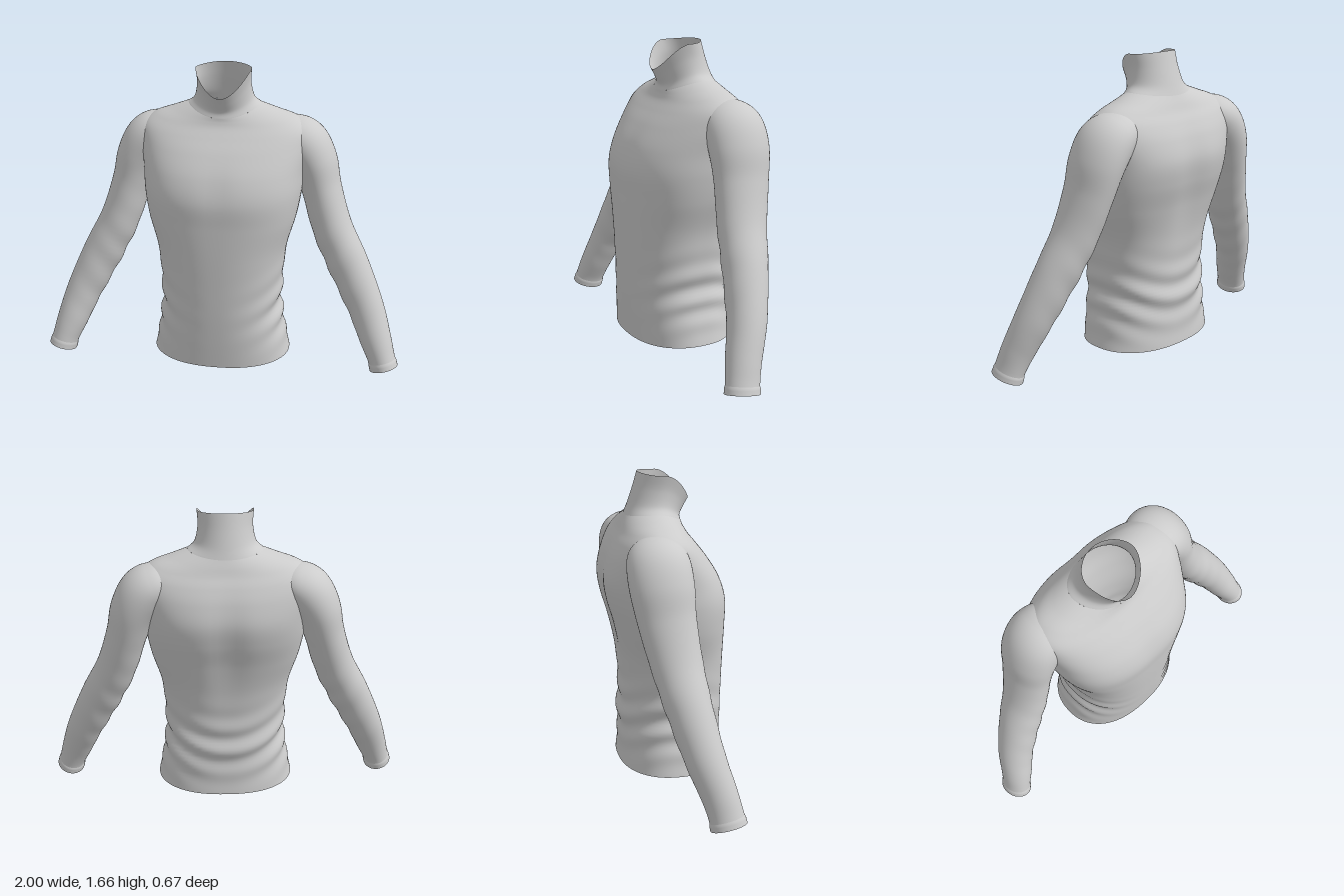
import * as THREE from 'three';

const material = new THREE.MeshStandardMaterial({ color: 0xcccccc, side: THREE.DoubleSide });

// Smooth interpolation through rows of numbers, t in 0..1
function sample(rows, t) {
  const f = t * (rows.length - 1);
  const i = Math.min(Math.floor(f), rows.length - 2);
  const u = f - i;
  const row = (k) => rows[Math.max(0, Math.min(rows.length - 1, k))];
  return rows[i].map((b, n) => {
    const a = row(i - 1)[n], c = row(i + 1)[n], d = row(i + 2)[n];
    return b + 0.5 * u * (c - a + u * (2 * a - 5 * b + 4 * c - d + u * (3 * (b - c) + d - a)));
  });
}

// Open tube from point(t, angle), with the rings closed without a seam
function loft(name, rings, sides, point, flip = false) {
  const pos = [], index = [];
  for (let j = 0; j <= rings; j++) {
    for (let i = 0; i < sides; i++) {
      pos.push(...point(j / rings, (i / sides) * Math.PI * 2));
      if (j === rings) continue;
      const a = j * sides + i, b = j * sides + ((i + 1) % sides);
      const c = a + sides, d = b + sides;
      if (flip) index.push(a, b, c, b, d, c);
      else index.push(a, c, b, b, c, d);
    }
  }
  const geometry = new THREE.BufferGeometry();
  geometry.setAttribute('position', new THREE.Float32BufferAttribute(pos, 3));
  geometry.setIndex(index);
  geometry.computeVertexNormals();
  const mesh = new THREE.Mesh(geometry, material);
  mesh.name = name;
  return mesh;
}

// Section: half width, front z, back z, side z, y at front, side and back, squareness
function bodyPoint(rows, t, angle) {
  const [w, zf, zb, zc, yf, ys, yb, n] = sample(rows, t);
  const c = Math.cos(angle), s = Math.sin(angle);
  const power = (v) => Math.sign(v) * Math.pow(Math.abs(v), 2 / n);
  const x = w * power(c);
  const z = zc + power(s) * (s > 0 ? zf - zc : zc - zb);
  const y = ys + ((s > 0 ? yf : yb) - ys) * s * s;
  return [x, y, z];
}

const neckBase = [0.2, 0.105, -0.2, -0.06, 1.415, 1.475, 1.455, 2];
const torsoRows = [
  [0.385, 0.31, -0.25, 0.03, 0.055, 0.07, 0.065, 2.3],
  [0.36, 0.32, -0.24, 0.03, 0.2, 0.2, 0.2, 2.3],
  [0.335, 0.328, -0.24, 0.03, 0.36, 0.36, 0.36, 2.3],
  [0.34, 0.332, -0.235, 0.03, 0.52, 0.52, 0.52, 2.3],
  [0.358, 0.335, -0.25, 0.02, 0.7, 0.7, 0.7, 2.4],
  [0.405, 0.335, -0.285, 0, 0.87, 0.87, 0.87, 2.5],
  [0.43, 0.334, -0.325, -0.02, 1.01, 1.01, 1.01, 2.5],
  [0.44, 0.295, -0.34, -0.04, 1.13, 1.13, 1.13, 2.5],
  [0.46, 0.225, -0.315, -0.07, 1.24, 1.26, 1.24, 2.4],
  [0.455, 0.165, -0.278, -0.08, 1.315, 1.35, 1.32, 2.3],
  [0.39, 0.125, -0.243, -0.08, 1.365, 1.405, 1.375, 2.2],
  [0.29, 0.11, -0.22, -0.07, 1.395, 1.442, 1.42, 2.1],
  neckBase,
];
const collarRows = [
  neckBase,
  [0.162, 0.1, -0.18, -0.04, 1.445, 1.51, 1.51, 2],
  [0.145, 0.12, -0.15, -0.02, 1.485, 1.59, 1.6, 2],
  [0.15, 0.147, -0.127, 0, 1.53, 1.668, 1.68, 1.9],
];

const bump = (v, centre, width) => Math.exp(-(((v - centre) / width) ** 2));

// Torso with a spine groove and sagging folds at the lower back and waist
function torsoPoint(t, angle) {
  const [x, y, z] = bodyPoint(torsoRows, t, angle);
  const back = Math.max(0, -Math.sin(angle));
  const front = Math.max(0, Math.sin(angle));
  const groove = 0.02 * back * bump(x, 0, 0.09) * bump(y, 1.0, 0.28);
  const sag = y - 1.1 * x * x;
  const fold = 0.011 * Math.sin(sag * 42) * bump(y, 0.36, 0.17) * Math.min(1, 1.4 * (1 - front));
  const cleft = 0.006 * front * bump(x, 0, 0.07) * bump(y, 1.08, 0.12);
  return [x + fold * Math.cos(angle), y, z + groove - cleft + fold * Math.sin(angle)];
}

// Sleeve centre line, then radius across and radius front to back
const sleeveRows = [
  [0.3, 1.31, -0.1, 0.08, 0.12],
  [0.36, 1.295, -0.1, 0.115, 0.15],
  [0.43, 1.25, -0.1, 0.133, 0.165],
  [0.49, 1.15, -0.095, 0.125, 0.165],
  [0.535, 1.0, -0.08, 0.11, 0.15],
  [0.602, 0.79, -0.045, 0.11, 0.133],
  [0.7, 0.59, -0.005, 0.112, 0.118],
  [0.805, 0.37, 0.05, 0.1, 0.103],
  [0.87, 0.2, 0.107, 0.087, 0.093],
  [0.905, 0.105, 0.133, 0.076, 0.09],
  [0.923, 0.045, 0.145, 0.076, 0.092],
];
const zAxis = new THREE.Vector3(0, 0, 1);

function sleevePoint(side, t, angle, swell = 1) {
  const [x, y, z, ra, rb] = sample(sleeveRows, t);
  const before = sample(sleeveRows, Math.max(0, t - 0.02));
  const after = sample(sleeveRows, Math.min(1, t + 0.02));
  const along = new THREE.Vector3(...[0, 1, 2].map((k) => after[k] - before[k])).normalize();
  const across = new THREE.Vector3().crossVectors(zAxis, along).normalize();
  const depth = new THREE.Vector3().crossVectors(along, across);
  // Soft creases on the inside of the elbow
  const crease = 0.004 * Math.sin(t * 90 + 2 * Math.cos(angle)) * bump(t, 0.6, 0.12) * (1 - Math.cos(angle)) / 2;
  const p = new THREE.Vector3(x, y, z)
    .addScaledVector(across, (ra * swell + crease) * Math.cos(angle))
    .addScaledVector(depth, (rb * swell + crease) * Math.sin(angle));
  return [side * p.x, p.y, p.z];
}

export function createModel() {
  const model = new THREE.Group();
  model.name = 'highNeckShirt';
  model.add(loft('torso', 110, 96, torsoPoint));
  model.add(loft('collar', 24, 64, (t, a) => bodyPoint(collarRows, t, a)));

  for (const side of [1, -1]) {
    const label = side > 0 ? 'left' : 'right';
    model.add(loft(label + 'Sleeve', 80, 48, (t, a) => sleevePoint(side, t * 0.95, a), side > 0));
    // Cuff band standing slightly proud of the sleeve
    model.add(loft(label + 'Cuff', 8, 48, (t, a) =>
      sleevePoint(side, 0.925 + t * 0.075, a, 0.99 + 0.05 * Math.min(1, t * 4)), side > 0));
  }
  return model;
}
